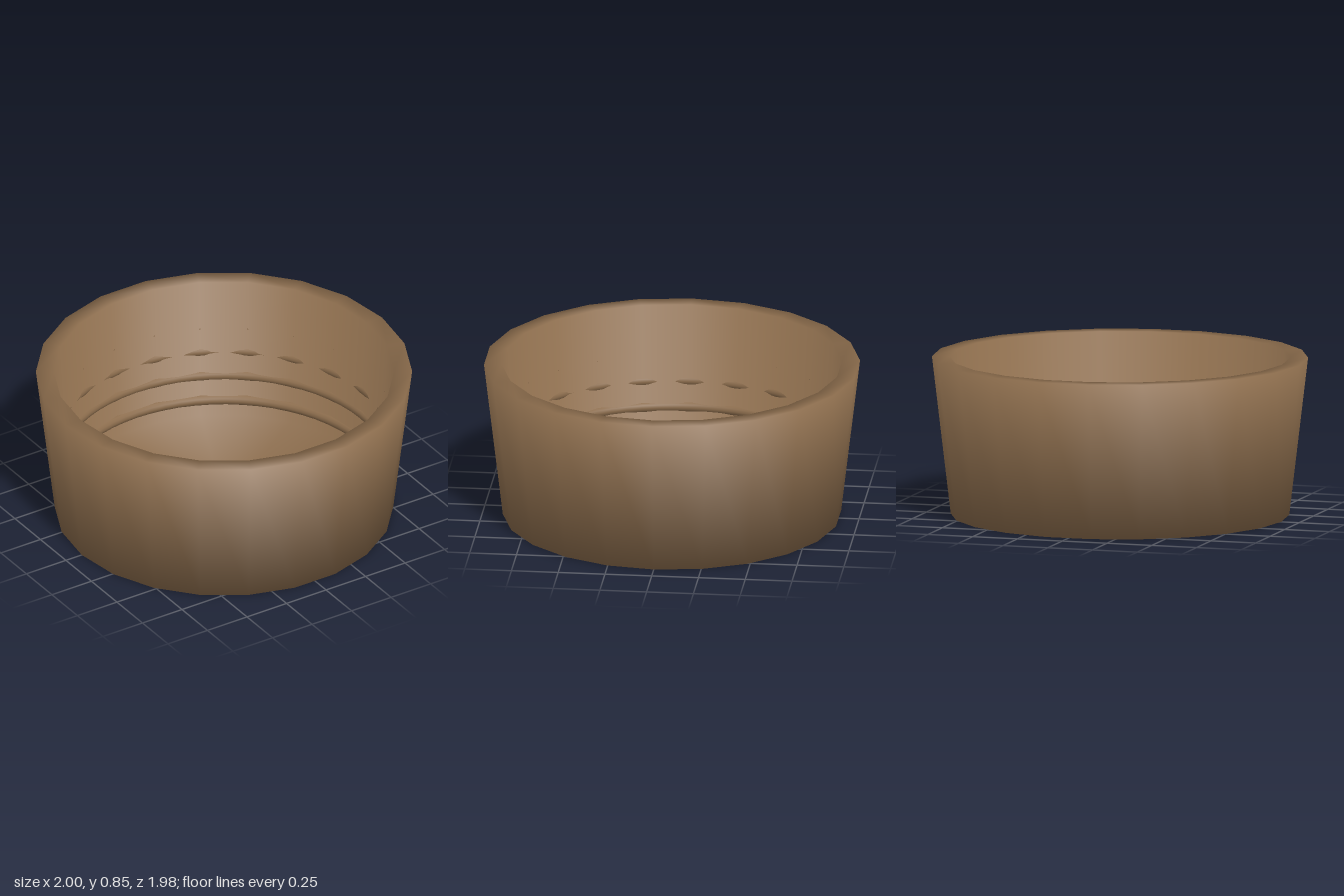
import * as THREE from 'three';

// Lathe whose corner normals halve the angle between neighbouring faces
function softLathe(points, sides, start) {
  const geometry = new THREE.LatheGeometry(points, sides, start);
  const faces = points.slice(1).map((p, i) =>
    new THREE.Vector2(p.y - points[i].y, points[i].x - p.x).normalize());
  const normals = points.map((p, i) =>
    p.x === 0
      ? new THREE.Vector2(0, i === 0 ? -1 : 1)
      : faces[i - 1].clone().add(faces[i]).normalize());
  const attribute = geometry.attributes.normal;
  for (let s = 0; s <= sides; s++) {
    const angle = start + (s / sides) * Math.PI * 2;
    normals.forEach((n, j) => attribute.setXYZ(
      s * points.length + j, n.x * Math.sin(angle), n.y, n.x * Math.cos(angle)));
  }
  return geometry;
}

export function createModel() {
  const group = new THREE.Group();
  group.name = 'cap';
  const brown = new THREE.MeshStandardMaterial({ color: 0x8b6c4c });
  brown.name = 'brown';

  const add = (name, geometry, y = 0) => {
    const mesh = new THREE.Mesh(geometry, brown);
    mesh.name = name;
    mesh.position.y = y;
    group.add(mesh);
  };

  // Tapered open shell: recessed underside, outer wall, flat rim, inner wall, floor
  const height = 0.845;
  const profile = [
    [0, 0.024], [0.855, 0.024], [0.9, 0], [1, height],
    [0.905, height], [0.857, 0.04], [0, 0.04],
  ].map(([r, y]) => new THREE.Vector2(r, y));
  add('shell', softLathe(profile, 22, Math.PI / 2));

  // Thread ridges sunk into the inner wall, following the taper of the outside
  const tube = 0.03;
  [0.133, 0.277, 0.42, 0.563].forEach((y, i) => {
    const radius = 0.95 * (0.9 + 0.1 * y / height);
    const ring = new THREE.TorusGeometry(radius, tube, 12, 64);
    ring.rotateX(Math.PI / 2);
    add('threadRidge' + (i + 1), ring, y);
  });

  return group;
}
